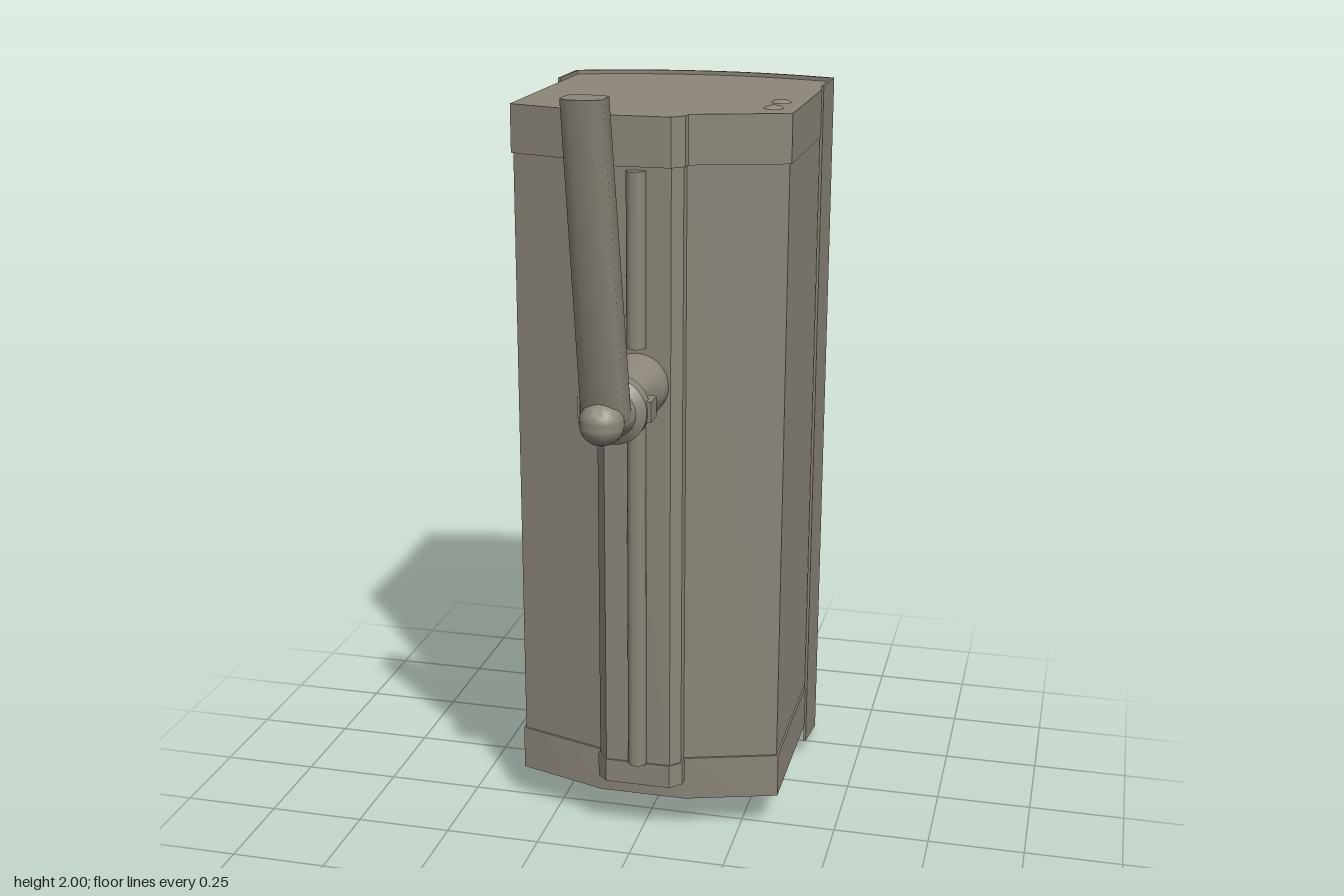
import * as THREE from 'three';
import { toCreasedNormals } from 'three/addons/utils/BufferGeometryUtils.js';

const metal = new THREE.MeshStandardMaterial({ color: 0x8c867a });
metal.name = 'warm grey';

// points along the curved back, from +x to -x
function backArc(halfWidth, zMid, zEnd, n = 20) {
  return Array.from({ length: n + 1 }, (_, i) => {
    const t = 1 - (2 * i) / n;
    return [halfWidth * t, zMid + (zEnd - zMid) * t * t];
  });
}

// plan outline of the case; front is 'nose' (stepped column) or a plain flat
function caseOutline(w, inset, nose) {
  const half = nose
    ? [[0.115 - inset, 0.107 - inset], [0.113 - inset, 0.132 - inset], [0.085, 0.16 - inset]]
    : [[0.115 - inset, 0.107 - inset]];
  const right = [...half.reverse(), [w, 0.032 - inset]];
  const left = right.map(([x, z]) => [-x, z]).reverse();
  return [...right, ...backArc(w, -0.634, -0.566), ...left];
}

// vertical prism from an [x, z] outline
function prism(points, y0, y1) {
  const shape = new THREE.Shape(points.map(([x, z]) => new THREE.Vector2(x, -z)));
  const geo = new THREE.ExtrudeGeometry(shape, { depth: y1 - y0, bevelEnabled: false });
  geo.rotateX(-Math.PI / 2);
  geo.translate(0, y0, 0);
  return geo;
}

export function createModel() {
  const model = new THREE.Group();
  model.name = 'wallDispenser';
  const add = (name, geo, parent = model, crease = 0.6) => {
    const mesh = new THREE.Mesh(toCreasedNormals(geo, crease), metal);
    mesh.name = name;
    parent.add(mesh);
    return mesh;
  };

  // case: main body between two caps, with fine seams
  add('body', prism(caseOutline(0.345, 0.004, true), 0.21, 1.79));
  add('topCap', prism(caseOutline(0.35, 0, true), 1.78, 1.9));
  add('bottomCap', prism(caseOutline(0.35, 0, false), 0.1, 0.218));
  add('bottomCapNose', prism(
    [[0.115, 0.09], [0.113, 0.132], [0.085, 0.16], [-0.085, 0.16], [-0.113, 0.132], [-0.115, 0.09]], 0.155, 0.218));

  // back cover: thin curved shell with a sloping lower edge
  const outer = backArc(0.355, -0.645, -0.575);
  const inner = backArc(0.348, -0.636, -0.568).reverse();
  const cover = prism([[0.355, -0.4], ...outer, [-0.355, -0.4], [-0.348, -0.4], ...inner, [0.348, -0.4]], 0, 1.91);
  const p = cover.attributes.position;
  for (let i = 0; i < p.count; i++) {
    if (p.getY(i) < 0.5) p.setY(i, (0.05 * (p.getZ(i) + 0.645)) / 0.245);
  }
  add('backCover', cover);

  // round rails on the front column, above and below the lever
  for (const [name, y0, y1] of [['lowerRail', 0.22, 1.14], ['upperRail', 1.34, 1.772]]) {
    const rail = new THREE.CylinderGeometry(0.024, 0.024, y1 - y0, 20);
    rail.translate(0, (y0 + y1) / 2, 0.161);
    add(name, rail);
  }

  // low buttons on the top
  for (const z of [-0.147, -0.044]) {
    const button = new THREE.SphereGeometry(0.025, 20, 6, 0, Math.PI * 2, 0, Math.PI / 2);
    button.scale(1, 0.35, 1);
    button.translate(0.29, 1.899, z);
    add('topButton', button);
  }

  // lever assembly, turned around the z axis
  const lever = new THREE.Group();
  lever.name = 'lever';
  lever.position.y = 1.245;
  model.add(lever);
  const turned = (name, profile) => {
    const geo = new THREE.LatheGeometry(profile.map(([r, z]) => new THREE.Vector2(r, z)), 32);
    geo.rotateX(Math.PI / 2);
    return add(name, geo, lever);
  };
  turned('mount', [[0, 0.15], [0.08, 0.15], [0.08, 0.195], [0.042, 0.28], [0.042, 0.29], [0, 0.29]]);
  turned('neck', [[0, 0.28], [0.025, 0.28], [0.025, 0.33], [0.022, 0.36], [0, 0.37]]);
  turned('collar', [[0, 0.35], [0.082, 0.35], [0.082, 0.385], [0.06, 0.4], [0.05, 0.43], [0.05, 0.47], [0, 0.47]]);

  // side lugs of the collar
  for (const side of [-1, 1]) {
    const lug = new THREE.BoxGeometry(0.02, 0.05, 0.055);
    lug.translate(side * 0.08, 0, 0.347);
    add('collarLug', lug, lever);
  }

  const elbow = new THREE.SphereGeometry(0.053, 28, 20);
  elbow.translate(0, 0, 0.482);
  add('elbow', elbow, lever);

  // leaning handle with bevelled corners, slightly narrower toward its top
  const handle = prism(
    [[0.047, -0.03], [0.032, -0.045], [-0.032, -0.045], [-0.047, -0.03],
     [-0.047, 0.025], [-0.025, 0.045], [0.025, 0.045], [0.047, 0.025]], 0, 0.755);
  const h = handle.attributes.position;
  for (let i = 0; i < h.count; i++) {
    const t = h.getY(i) / 0.755;
    h.setX(i, h.getX(i) * (1.12 - 0.12 * t));
    h.setZ(i, h.getZ(i) + 0.445 + 0.155 * t);
  }
  add('handle', handle, lever, 0.9);

  return model;
}
